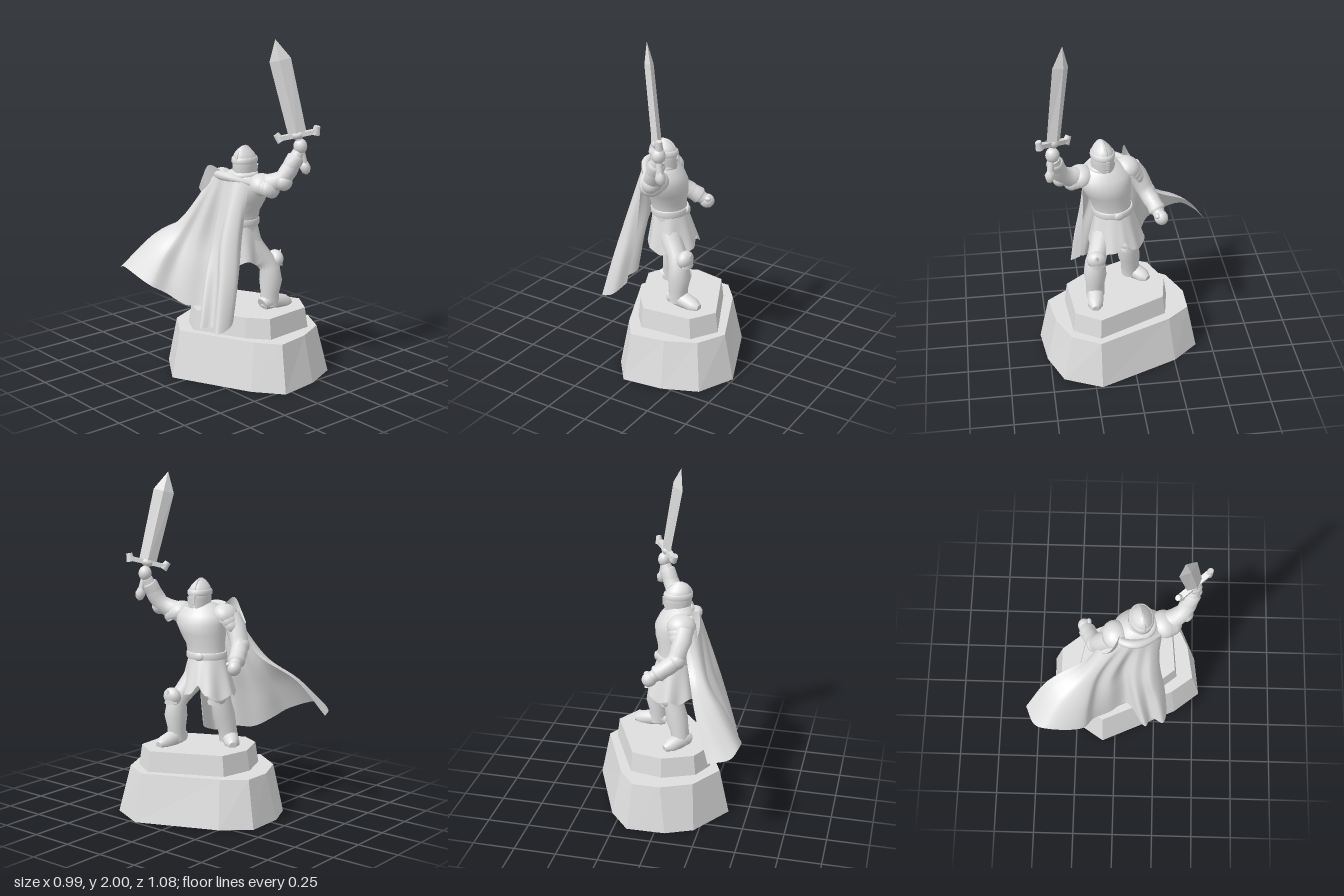
import * as THREE from 'three';

const stone = new THREE.MeshStandardMaterial({ color: 0xdedede, side: THREE.DoubleSide });
stone.name = 'stone grey';
const V = (x, y, z) => new THREE.Vector3(x, y, z);

// Surface through rows of points; rows may be closed rings with capped ends
function loft(rows, { closed = true, flat = false } = {}) {
  const n = rows[0].length, pos = [], index = [];
  rows.forEach(r => r.forEach(p => pos.push(p.x, p.y, p.z)));
  for (let i = 0; i < rows.length - 1; i++) {
    for (let j = 0; j < (closed ? n : n - 1); j++) {
      const a = i * n + j, b = i * n + (j + 1) % n;
      index.push(a, a + n, b, b, a + n, b + n);
    }
  }
  if (closed) {
    [rows[0], rows[rows.length - 1]].forEach((row, end) => {
      const start = pos.length / 3, c = V(0, 0, 0);
      row.forEach(p => { c.add(p); pos.push(p.x, p.y, p.z); });
      c.divideScalar(n);
      pos.push(c.x, c.y, c.z);
      for (let j = 0; j < n; j++) {
        const a = start + j, b = start + (j + 1) % n;
        index.push(start + n, end ? b : a, end ? a : b);
      }
    });
  }
  let g = new THREE.BufferGeometry();
  g.setAttribute('position', new THREE.Float32BufferAttribute(pos, 3));
  g.setIndex(index);
  if (flat) g = g.toNonIndexed();
  g.computeVertexNormals();
  return g;
}

// Stacked ellipses: [y, centreX, centreZ, radiusX, radiusZ]
function stack(sections, seg = 24, flat = false) {
  return loft(sections.map(([y, cx, cz, rx, rz]) => Array.from({ length: seg }, (_, j) => {
    const a = j / seg * Math.PI * 2;
    return V(cx + rx * Math.cos(a), y, cz + rz * Math.sin(a));
  })), { flat });
}

// Round limb along points [x, y, z, radius]
function limb(points, ref = V(1, 0, 0), seg = 14) {
  const c = points.map(p => V(p[0], p[1], p[2]));
  return loft(c.map((p, i) => {
    const t = c[Math.min(i + 1, c.length - 1)].clone().sub(c[Math.max(i - 1, 0)]).normalize();
    const u = ref.clone().addScaledVector(t, -ref.dot(t)).normalize();
    const w = u.clone().cross(t);
    return Array.from({ length: seg }, (_, j) => {
      const a = j / seg * Math.PI * 2, r = points[i][3];
      return p.clone().addScaledVector(u, r * Math.cos(a)).addScaledVector(w, r * Math.sin(a));
    });
  }));
}

const curve = pts => new THREE.CatmullRomCurve3(pts.map(p => V(...p)));

export function createModel() {
  const root = new THREE.Group();
  root.name = 'knightStatue';
  const add = (name, geo, parent = root, at = [0, 0, 0], scale = [1, 1, 1], rot = [0, 0, 0]) => {
    const m = new THREE.Mesh(geo, stone);
    m.name = name;
    m.position.set(...at);
    m.scale.set(...scale);
    m.rotation.set(...rot);
    parent.add(m);
  };
  const ball = (name, at, scale, parent = root, rot) =>
    add(name, new THREE.SphereGeometry(1, 16, 12), parent, at, scale, rot);

  // Two-tier faceted plinth
  const ring = (pts, y) => pts.map(([x, z]) => V(x, y, z));
  const foot = [[.495, .21], [.395, .43], [.19, .515], [-.05, .543], [-.175, .385],
    [-.385, -.08], [-.22, -.33], [-.06, -.4], [.17, -.405], [.3, -.255]];
  const ledge = [[.437, .21], [.35, .375], [.175, .455], [-.03, .487], [-.13, .355],
    [-.325, -.08], [-.2, -.27], [-.02, -.35], [.145, -.35], [.25, -.22]];
  const top = [[.37, .2], [.28, .345], [-.02, .37], [-.11, .26], [-.24, -.03],
    [-.18, -.15], [0, -.225], [.185, -.19]];
  const wide = top.map(([x, z]) => [.07 + (x - .07) * 1.06, .09 + (z - .09) * 1.06]);
  add('plinthBase', loft([ring(foot, 0), ring(ledge, .28)], { flat: true }));
  add('plinthTop', loft([ring(wide, .27), ring(top, .4)], { flat: true }));

  // Legs with greaves, knee guards and boots
  const legs = [
    { side: 'right', path: [[.0, .86, .12, .075], [.04, .77, .155, .068], [.1, .69, .19, .058], [.122, .65, .207, .06],
      [.128, .57, .21, .068], [.122, .5, .21, .056], [.12, .42, .21, .057]], knee: [.165, .69, .205], yaw: -.06,
      boot: [[.065, .43, .21, .038], [.1, .445, .21, .053], [.17, .43, .213, .048], [.23, .415, .22, .045], [.27, .41, .222, .022]] },
    { side: 'left', path: [[-.02, .86, .04, .075], [-.02, .77, .01, .07], [-.02, .69, -.01, .06], [-.03, .65, -.01, .06],
      [-.047, .57, -.015, .067], [-.065, .5, -.025, .056], [-.075, .42, -.03, .057]], knee: [.012, .69, -.012], yaw: .35,
      boot: [[-.12, .43, .0, .034], [-.095, .445, -.02, .05], [-.055, .43, -.06, .048], [-.02, .415, -.1, .045], [.005, .41, -.125, .022]] },
  ];
  for (const { side, path, knee, boot, yaw } of legs) {
    add(side + 'Leg', limb(path));
    const bootGeo = limb(boot, V(0, 1, 0));
    const p = bootGeo.attributes.position;
    for (let i = 0; i < p.count; i++) p.setY(i, Math.max(p.getY(i), .4));
    bootGeo.computeVertexNormals();
    add(side + 'Boot', bootGeo);
    ball(side + 'KneeGuard', knee, [.045, .055, .058], root, [0, yaw, -.2]);
    add(side + 'KneePoint', new THREE.ConeGeometry(.05, .09, 8), root,
      [knee[0] + .028, knee[1] + .01, knee[2]], [.7, 1, 1], [0, yaw, -.4]);
  }

  // Body, turned slightly to the side
  const body = new THREE.Group();
  body.name = 'body';
  body.position.set(-.02, 0, .13);
  body.rotation.y = .25;
  root.add(body);
  add('breastplate', stack([[.86, .02, -.045, .1, .12], [.93, .02, -.04, .1, .112], [1.0, .015, -.03, .105, .118],
    [1.06, .012, -.015, .122, .138], [1.12, .01, 0, .127, .152], [1.17, .0, 0, .112, .155],
    [1.21, -.01, 0, .09, .115], [1.24, -.01, 0, .06, .065]]), body);
  add('belt', stack([[.915, .02, -.042, .108, .12], [.922, .02, -.042, .112, .123], [.948, .02, -.04, .112, .123],
    [.955, .02, -.04, .106, .118]]), body);
  ball('beltBuckle', [.13, .935, -.04], [.013, .025, .03], body);

  // Pleated skirt of the tunic, split at the front
  const skirt = new THREE.CylinderGeometry(.1, .148, 1, 64, 8, true);
  const sp = skirt.attributes.position;
  for (let i = 0; i < sp.count; i++) {
    const t = .5 - sp.getY(i), a = Math.atan2(sp.getZ(i), sp.getX(i));
    const split = Math.exp(-((a / .2) ** 2)), k = 1 + t * .06 * Math.cos(a * 7 + Math.PI);
    sp.setXYZ(i, .02 + t * .015 + sp.getX(i) * k, .93 - t * (.23 - .09 * split + .015 * Math.cos(a * 7)),
      -.045 - t * .01 + sp.getZ(i) * k * 1.12);
  }
  skirt.computeVertexNormals();
  add('skirt', skirt, body);

  // Helmet with brow, cheek plates, nose bar and crest
  const head = new THREE.Group();
  head.name = 'head';
  head.position.z = .012;
  body.add(head);
  add('neckGuard', new THREE.TorusGeometry(.068, .02, 8, 24), head, [-.01, 1.215, 0], [1, 1, 1], [Math.PI / 2, 0, 0]);
  add('helmet', stack([[1.18, 0, 0, .06, .055], [1.22, 0, 0, .074, .062], [1.27, 0, 0, .08, .066],
    [1.31, 0, 0, .08, .066], [1.34, -.005, 0, .068, .05], [1.364, -.01, 0, .048, .028],
    [1.38, -.01, 0, .02, .008]]), head);
  add('browBand', stack([[1.285, 0, 0, .084, .068], [1.295, 0, 0, .088, .071], [1.312, 0, 0, .085, .069],
    [1.318, 0, 0, .078, .064]]), head);
  for (const s of [1, -1]) {
    add('cheekPlate', new THREE.CylinderGeometry(.088, .078, .075, 12, 1, true, Math.PI / 2 + (s > 0 ? -1.6 : .1), 1.5),
      head, [0, 1.232, 0], [1, 1, .83]);
  }
  add('noseBar', new THREE.BoxGeometry(.012, .05, .014), head, [.085, 1.265, 0]);
  add('crest', new THREE.TorusGeometry(.076, .008, 6, 16, Math.PI), head, [-.004, 1.3, 0]);

  // Layered shoulder plates
  for (const s of [1, -1]) {
    for (const [i, r] of [.082, .076, .07].entries()) {
      add(s > 0 ? 'rightShoulderPlate' : 'leftShoulderPlate',
        new THREE.SphereGeometry(r, 18, 8, 0, Math.PI * 2, 0, 1.75), body,
        [-.015, 1.165 - i * (s > 0 ? .004 : .026), s * (.145 + i * .02)], [1.05, .85, .95], [s * (.45 + i * .15), 0, 0]);
    }
  }

  // Upright pointed guard standing on the left shoulder
  const finBase = curve([[.02, 1.19, .03], [-.06, 1.18, .035], [-.13, 1.16, .02], [-.165, 1.13, -.02], [-.165, 1.09, -.07]]);
  const finTop = curve([[.02, 1.2, .03], [-.07, 1.215, .025], [-.165, 1.265, 0], [-.185, 1.19, -.035], [-.175, 1.12, -.08]]);
  add('shoulderGuardFin', loft([finBase.getPoints(20), finTop.getPoints(20)], { closed: false }));

  // Raised sword arm and lowered free arm
  add('rightArm', limb([[-.01, 1.15, .22, .06], [.01, 1.17, .28, .062], [.035, 1.19, .34, .056], [.06, 1.22, .385, .05],
    [.085, 1.27, .405, .05], [.11, 1.32, .42, .042], [.13, 1.37, .432, .034]]));
  ball('rightElbowGuard', [.055, 1.2, .395], [.05, .05, .045]);
  add('rightCuff', limb([[.085, 1.275, .405, .046], [.115, 1.335, .425, .05], [.12, 1.345, .427, .04]]));
  ball('rightHand', [.137, 1.4, .437], [.038, .045, .04]);
  add('leftArm', limb([[-.09, 1.16, -.03, .06], [-.09, 1.1, -.07, .06], [-.075, 1.03, -.105, .055], [-.055, .99, -.125, .05],
    [-.02, .965, -.145, .052], [.03, .93, -.17, .042], [.07, .905, -.185, .034]], V(.3, 1, 0)));
  ball('leftElbowGuard', [-.07, 1.0, -.13], [.05, .05, .045]);
  add('leftCuff', limb([[-.01, .96, -.15, .045], [.035, .928, -.172, .052], [.045, .92, -.177, .038]], V(0, 1, 0)));
  ball('leftHand', [.078, .897, -.19], [.045, .044, .04], root, [0, .5, -.5]);
  ball('leftThumb', [.095, .92, -.165], [.022, .015, .015]);

  // Sword, built upright then aligned with the raised hand
  const sword = new THREE.Group();
  sword.name = 'sword';
  const base = V(.122, 1.465, .43), up = V(.015, 2, .355).sub(base).normalize();
  const across = V(.16, 0, .19).addScaledVector(up, -V(.16, 0, .19).dot(up)).normalize();
  sword.applyMatrix4(new THREE.Matrix4().makeBasis(across, up, across.clone().cross(up)).setPosition(base));
  root.add(sword);
  add('blade', stack([[0, 0, 0, .052, .027], [.43, 0, 0, .061, .025], [.546, 0, 0, .001, .001]], 4, true), sword);
  add('guard', new THREE.BoxGeometry(.21, .026, .034), sword);
  ball('guardCentre', [0, 0, 0], [.038, .026, .03], sword);
  for (const s of [1, -1]) {
    add('guardEnd', new THREE.CylinderGeometry(.018, .025, .05, 8), sword, [s * .108, .005, 0], [1, 1, .9], [0, 0, s * -.4]);
  }
  add('grip', new THREE.CylinderGeometry(.018, .02, .19, 10), sword, [0, -.09, 0]);
  add('pommel', new THREE.OctahedronGeometry(.034, 1), sword, [0, -.19, 0], [.9, 1.3, .9]);

  // Wind-blown cape from shoulders to hem, passing through three rows
  const middle = [[-.15, .95, -.17], [-.2, .93, -.19], [-.25, .91, -.18], [-.265, .88, -.13], [-.225, .88, -.08],
    [-.23, .86, -.02], [-.18, .87, .05], [-.23, .86, .11], [-.22, .86, .16], [-.245, .85, .21], [-.18, .86, .265], [-.13, .88, .25]];
  const lower = [[-.24, .8, -.4], [-.31, .79, -.37], [-.37, .78, -.31], [-.375, .72, -.17], [-.31, .69, -.12],
    [-.28, .66, -.03], [-.22, .67, .06], [-.31, .63, .14], [-.27, .63, .19], [-.3, .62, .26], [-.22, .63, .3], [-.16, .68, .26]];
  const hem = [[-.34, .59, -.54], [-.455, .6, -.485], [-.49, .63, -.4], [-.46, .56, -.19], [-.385, .51, -.13],
    [-.32, .45, -.03], [-.26, .45, .07], [-.39, .38, .19], [-.335, .385, .225], [-.36, .365, .3], [-.27, .4, .32], [-.2, .47, .27]];
  const rows = [middle, lower, hem].map(curve);
  const N = 66, M = 18;
  const columns = Array.from({ length: N + 1 }, (_, j) => {
    const u = j / N, s = Math.sin(Math.PI * u);
    const start = V(-.09 - .065 * s, 1.18 + .04 * s, -.07 + .33 * u);
    return new THREE.CatmullRomCurve3([start, ...rows.map(r => r.getPoint(u))]).getPoints(M);
  });
  add('cape', loft(columns, { closed: false }));
  add('capeCollar', limb(Array.from({ length: 13 }, (_, i) => {
    const u = i / 12, s = Math.sin(Math.PI * u);
    return [-.06 - .085 * s, 1.18 + .035 * s, -.06 + .32 * u, .012 + .014 * s];
  }), V(0, 1, 0), 10));

  return root;
}
